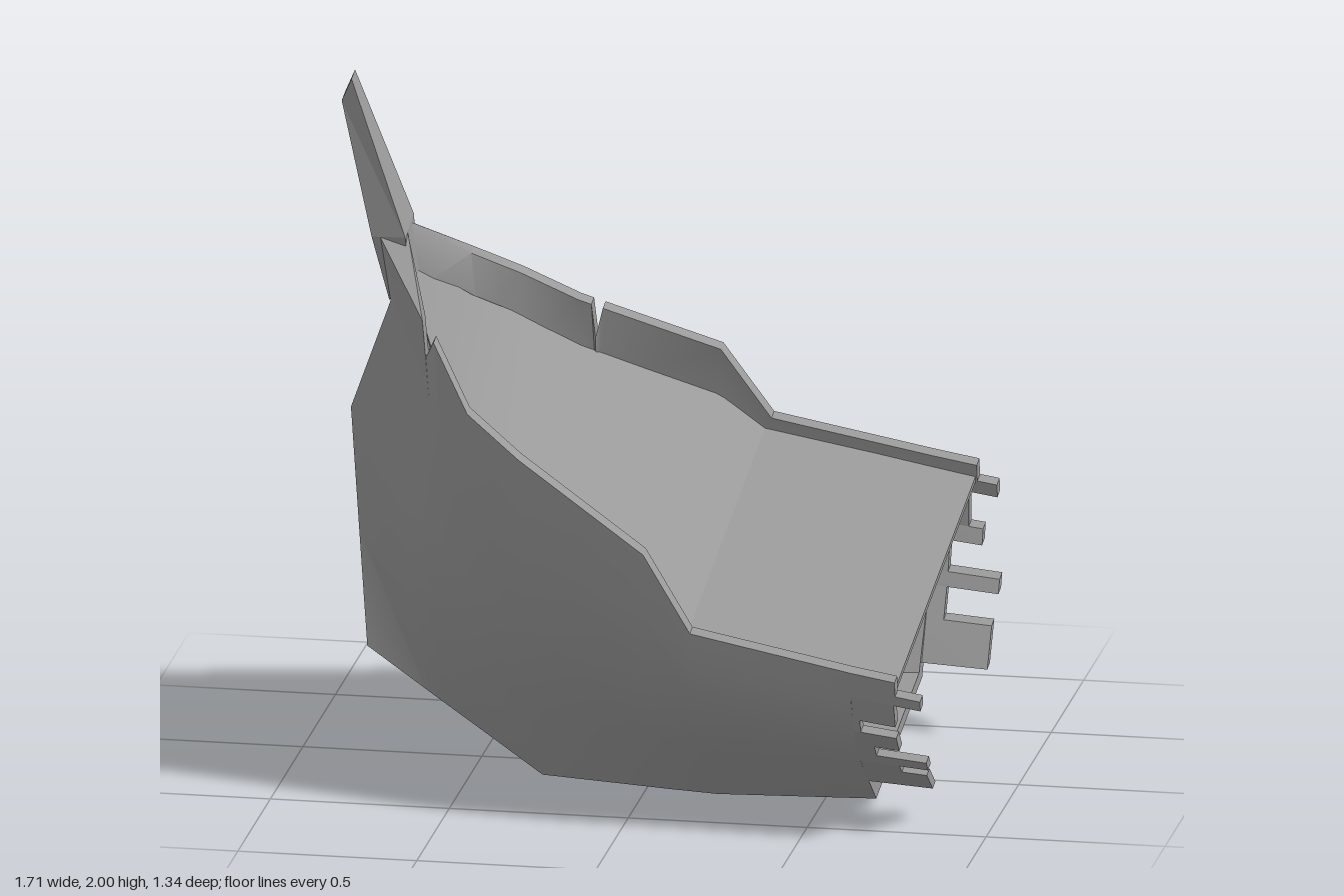
import * as THREE from 'three';
import { toCreasedNormals } from 'three/addons/utils/BufferGeometryUtils.js';

const ROLL = 0.192, C = Math.cos(ROLL), S = Math.sin(ROLL);
const material = new THREE.MeshStandardMaterial({ color: 0x999999, side: THREE.DoubleSide });

// Ship space (x along hull, s sideways from the keel line, h up) to the heeled, slightly yawed pose
function place(x, s, h) {
  const w = s - 0.142 + 0.055 * x;
  return new THREE.Vector3(x, h * C - w * S, w * C + h * S);
}

// Closed solid through rings of equal length; end caps pair ring corner i with corner n-1-i
function loft(name, rings, crease = 0.5) {
  const n = rings[0].length, tris = [];
  const quad = (a, b, c, d) => tris.push([a, b, c], [a, c, d]);
  for (let r = 0; r < rings.length - 1; r++) {
    for (let i = 0; i < n; i++) {
      const j = (i + 1) % n;
      quad(rings[r][i], rings[r][j], rings[r + 1][j], rings[r + 1][i]);
    }
  }
  const first = rings[0], last = rings[rings.length - 1];
  for (let i = 0; i < n / 2 - 1; i++) {
    quad(first[n - 1 - i], first[n - 2 - i], first[i + 1], first[i]);
    quad(last[i], last[i + 1], last[n - 2 - i], last[n - 1 - i]);
  }
  // Turn the faces outward when the enclosed volume comes out negative
  let volume = 0;
  for (const [a, b, c] of tris) volume += a.dot(b.clone().cross(c));
  const flat = tris.flatMap(([a, b, c]) => (volume < 0 ? [a, c, b] : [a, b, c]));
  const geo = toCreasedNormals(new THREE.BufferGeometry().setFromPoints(flat), crease);
  const mesh = new THREE.Mesh(geo, material);
  mesh.name = name;
  return mesh;
}

// Cross-sections stern to bow; rows [x, half width, h] from chine up to rail
const column = (x, rows) => rows.map(([half, h]) => [x, half, h]);
const stations = [
  column(0.65, [[0.36, 0.07], [0.56, 0.29], [0.645, 0.43], [0.665, 0.53], [0.665, 0.62]]),
  column(0.2, [[0.36, 0.045], [0.56, 0.3], [0.65, 0.48], [0.67, 0.6], [0.66, 0.7]]),
  column(0.07, [[0.35, 0.043], [0.54, 0.3], [0.64, 0.52], [0.655, 0.74], [0.63, 0.918]]),
  column(-0.3, [[0.32, 0.04], [0.45, 0.33], [0.52, 0.6], [0.52, 0.88], [0.495, 1.11]]),
  column(-0.45, [[0.293, 0.133], [0.425, 0.4], [0.465, 0.7], [0.455, 1.0], [0.44, 1.21]]),
  [[-0.58, 0.27, 0.213], [-0.59, 0.37, 0.5], [-0.6, 0.355, 0.81], [-0.555, 0.325, 1.12], [-0.56, 0.3, 1.335]],
  [[-0.8, 0.23, 0.35], [-0.825, 0.155, 0.67], [-0.85, 0.08, 1.01], [-0.73, 0.06, 1.34], [-0.75, 0.07, 1.54]],
];
const bow = stations[6];
const lerp = THREE.MathUtils.lerp;
const mix = (a, b, t) => a.map((row, i) => row.map((v, k) => lerp(v, b[i][k], t)));

// Inserts a V-shaped break in the rail after station i
function withNotch(i, ts, drop) {
  const extra = ts.map((t, k) => {
    const st = mix(stations[i], stations[i + 1], t);
    if (k === 1) st[4][2] -= drop;
    return st;
  });
  return [...stations.slice(0, i + 1), ...extra, ...stations.slice(i + 1)];
}

// Hull side: outer skin up, inner skin back down, thicker below the foredeck
function hullSide(name, list, side) {
  const rings = list.map((st, k) => {
    const inset = k === list.length - 1 ? 0.07 : 0;
    const outer = st.map(([x, half, h]) => place(x, side * half, h));
    const inner = st.map(([x, half, h], i) => {
      const thick = x < -0.4 && i < 3 ? 0.1 : 0.042;
      return place(x + inset, side * Math.max(half - thick, 0.03), h + (i === 0 ? 0.035 : 0));
    });
    return [...outer, ...inner.reverse()];
  });
  return loft(name, rings, 0.8);
}

// Half width of the broken end at height h
function endWidth(h) {
  const rows = stations[0];
  const i = Math.max(1, rows.findIndex((row) => h <= row[2]));
  const [, w0, h0] = rows[i - 1], [, w1, h1] = rows[i];
  return lerp(w0, w1, (h - h0) / (h1 - h0));
}

// Broken planks of each side: [lower h, upper h, end x]
const frontPlanks = [
  [0.175, 0.26, 0.83], [0.26, 0.295, 0.76], [0.295, 0.33, 0.84], [0.33, 0.37, 0.7], [0.37, 0.43, 0.77],
  [0.43, 0.47, 0.67], [0.47, 0.545, 0.77], [0.545, 0.575, 0.845], [0.575, 0.62, 0.775],
];
const backPlanks = [
  [0.115, 0.21, 0.835], [0.21, 0.28, 0.7], [0.28, 0.315, 0.845], [0.315, 0.39, 0.7], [0.39, 0.43, 0.79],
  [0.43, 0.53, 0.75], [0.53, 0.57, 0.83], [0.57, 0.62, 0.775],
];
function plank([low, high, end], side) {
  const ring = (x) => {
    const fall = 1 - 0.25 * (x - 0.65);
    const p = (h, inset) => place(x, side * (endWidth(h) - inset), h * fall);
    return [p(low, 0), p(high, 0), p(high, 0.042), p(low, 0.042)];
  };
  return loft('brokenPlank', [ring(0.645), ring(end)]);
}

// Slab spanning both sides, from [x, half, h] stations
function slab(name, list, thickness, crease, taper = 0) {
  return loft(name, list.map(([x, half, h]) => [
    place(x, half - taper, h), place(x, taper - half, h), place(x, -half, h - thickness), place(x, half, h - thickness),
  ]), crease);
}

export function createModel() {
  const model = new THREE.Group();
  model.name = 'brokenShipBow';

  // Hull sides, each with its own split in the rail
  model.add(hullSide('hullSideFront', withNotch(5, [0.04, 0.2, 0.24], 0.1), 1));
  model.add(hullSide('hullSideBack', withNotch(2, [0.83, 0.89, 0.91], 0.1), -1));

  // Flat bottom
  model.add(slab('bottom', stations.map((st) => [st[0][0], st[0][1], st[0][2] + 0.035]), 0.035, 0.5, 0.03));

  // Flat tapering bow face
  model.add(loft('bowFace', bow.map(([x, half, h]) => [
    place(x, half, h), place(x, -half, h), place(x + 0.07, -half + 0.03, h), place(x + 0.07, half - 0.03, h),
  ]), 0.1));

  // Aft deck with its sloped step, and the smoothly rising foredeck
  const stepTop = [0.05, 0.615, 0.772];
  model.add(slab('aftDeck', [[0.77, 0.64, 0.565], [0.18, 0.64, 0.665], stepTop], 0.015, 0.3));
  model.add(slab('foreDeck', [
    stepTop, [-0.3, 0.475, 0.96], [-0.45, 0.415, 1.07], [-0.56, 0.25, 1.21], [-0.67, 0.05, 1.4],
  ], 0.015, 1));

  // Bulkhead closing the hold
  const wall = [[0.35, 0.05], [0.54, 0.3], [0.625, 0.52], [0.64, 0.66]];
  model.add(loft('bulkhead', wall.map(([half, h]) => [
    place(0.15, half - 0.01, h), place(0.15, -half + 0.01, h),
    place(0.13, -half + 0.01, h), place(0.13, half - 0.01, h),
  ]), 0.1));

  // Stem post: rows [back x, front x, half width, sideways shift, back h, front h]
  const post = [
    [-0.735, -0.68, 0.055, 0, 1.34, 1.36],
    [-0.775, -0.68, 0.07, 0, 1.54, 1.545],
    [-0.86, -0.83, 0.028, -0.035, 1.915, 1.985],
  ];
  model.add(loft('stemPost', post.map(([xb, xf, half, d, hb, hf]) => [
    place(xb, d + half, hb), place(xb, d - half, hb), place(xf, d - half, hf), place(xf, d + half, hf),
  ]), 0.1));

  // Splintered planks on the broken end
  for (const p of frontPlanks) model.add(plank(p, 1));
  for (const p of backPlanks) model.add(plank(p, -1));
  return model;
}
